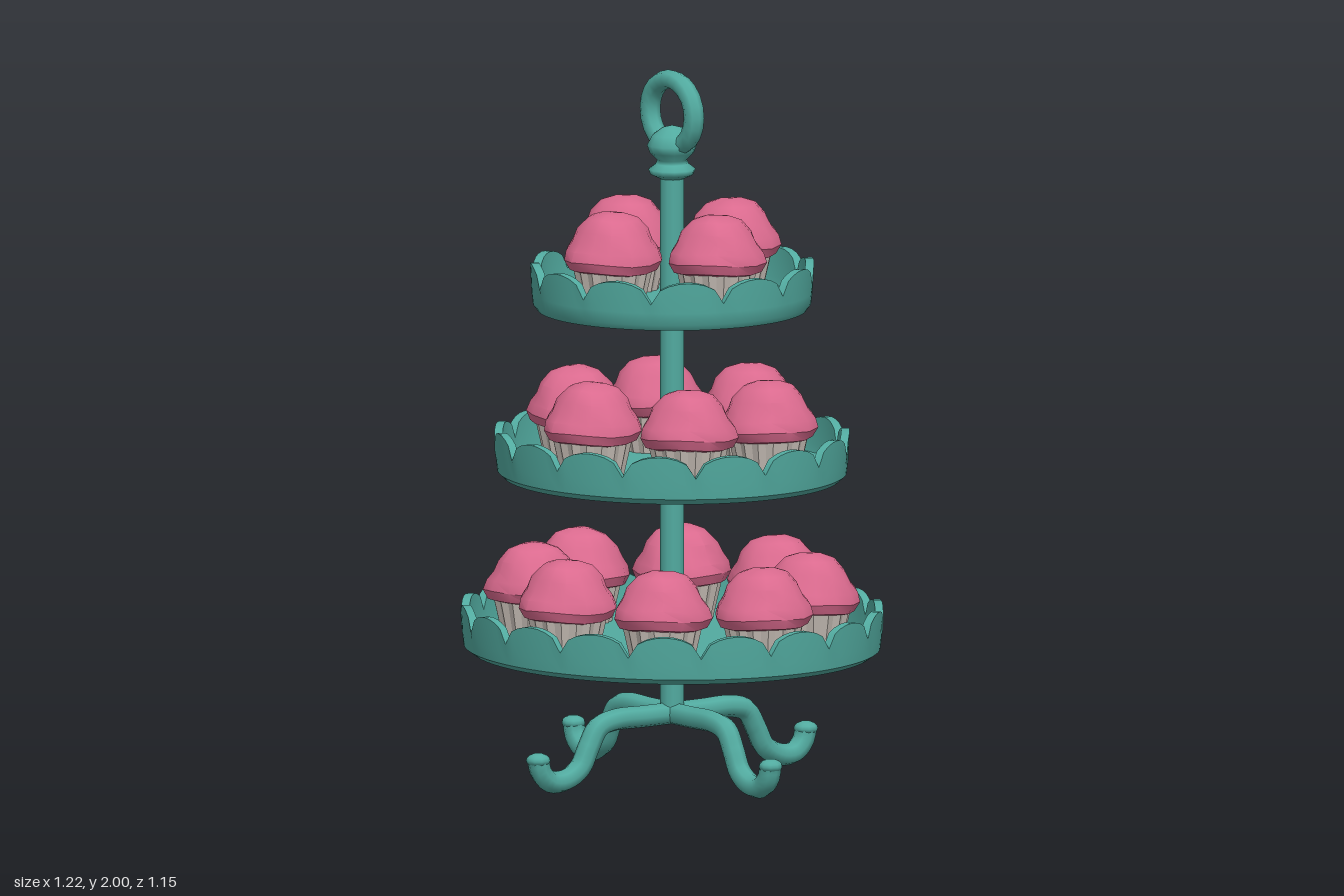
import * as THREE from 'three';
import { toCreasedNormals } from 'three/addons/utils/BufferGeometryUtils.js';

const teal = new THREE.MeshStandardMaterial({ name: 'teal metal', color: 0x52aba0 });
const pink = new THREE.MeshStandardMaterial({ name: 'pink frosting', color: 0xda6a8e });
const paper = new THREE.MeshStandardMaterial({ name: 'paper wrapper', color: 0xc9c0b8 });

const vec = (list) => list.map(([x, y]) => new THREE.Vector2(x, y));

function add(parent, geometry, material, name) {
  const mesh = new THREE.Mesh(geometry, material);
  mesh.name = name;
  parent.add(mesh);
  return mesh;
}

// Visit every vertex with a rule that edits it in place.
function deform(geometry, rule) {
  const pos = geometry.attributes.position;
  const v = new THREE.Vector3();
  for (let i = 0; i < pos.count; i++) {
    rule(v.fromBufferAttribute(pos, i));
    pos.setXYZ(i, v.x, v.y, v.z);
  }
  return geometry;
}

// Dish with a scalloped rim; phase 0 puts a notch at the front, 0.5 a lobe.
function plateGeometry(r, rz, lobes, phase) {
  const profile = vec([
    [0, 0], [r * 0.95, 0], [r - 0.008, 0.016], [r - 0.004, 0.05], [r, 0.135],
    [r - 0.024, 0.135], [r - 0.026, 0.05], [r - 0.03, 0.028], [0, 0.028],
  ]);
  const geo = new THREE.LatheGeometry(profile, lobes * 8);
  deform(geo, (v) => {
    if (v.y > 0.1) {
      const t = Math.atan2(v.x, v.z) / (Math.PI * 2) * lobes + phase;
      const u = 2 * (t - Math.floor(t + 1e-6)) - 1;
      v.y = 0.075 + 0.06 * Math.sqrt(Math.max(0, 1 - u * u));
    }
    v.z *= rz / r;
  });
  return toCreasedNormals(geo, 0.6);
}

// Domed frosting with a soft lower roll and a slightly uneven surface.
function frostingGeometry() {
  const profile = vec([
    [0, 0], [0.09, -0.002], [0.125, 0.008], [0.138, 0.035], [0.13, 0.062],
    [0.113, 0.085], [0.1, 0.115], [0.07, 0.147], [0.035, 0.16], [0, 0.163],
  ]);
  const geo = new THREE.LatheGeometry(profile, 14);
  deform(geo, (v) => {
    const a = Math.atan2(v.x, v.z);
    const k = 1 + 0.025 * Math.sin(3 * a + v.y * 40) + 0.012 * Math.cos(5 * a);
    v.x *= k;
    v.z *= k;
    v.y += 0.06 * v.x * Math.cos(2 * a);
  });
  return toCreasedNormals(geo, 0.6);
}

// Tapered wrapper with pleats.
function wrapperGeometry() {
  const geo = new THREE.CylinderGeometry(0.112, 0.085, 0.12, 32, 1);
  const pos = geo.attributes.position;
  deform(geo, (v) => {
    const i = Math.round(Math.atan2(v.x, v.z) / (Math.PI * 2) * 32);
    const k = i % 2 ? 0.95 : 1.02;
    v.x *= k;
    v.z *= k;
  });
  pos.needsUpdate = true;
  return toCreasedNormals(geo, 0.3);
}

export function createModel() {
  const model = new THREE.Group();
  model.name = 'cupcakeStand';
  const frosting = frostingGeometry();
  const wrapper = wrapperGeometry();

  // Tiers: base height, rim radii, lobes, cupcake count and ring radii
  const tiers = [
    { name: 'bottomTier', y: 0.363, r: 0.61, rz: 0.575, lobes: 18, phase: 0, n: 8, cx: 0.428, cz: 0.362 },
    { name: 'middleTier', y: 0.855, r: 0.51, rz: 0.485, lobes: 15, phase: 0.5, n: 6, cx: 0.305, cz: 0.275 },
    { name: 'topTier', y: 1.328, r: 0.395, rz: 0.395, lobes: 12, phase: 0.5, n: 4, cx: 0.21, cz: 0.205 },
  ];
  for (const t of tiers) {
    const tier = new THREE.Group();
    tier.name = t.name;
    tier.position.y = t.y;
    model.add(tier);
    add(tier, plateGeometry(t.r, t.rz, t.lobes, t.phase), teal, 'scallopedPlate');
    for (let i = 0; i < t.n; i++) {
      const a = (i / t.n) * Math.PI * 2;
      const cake = new THREE.Group();
      cake.name = 'cupcake';
      cake.position.set(Math.sin(a) * t.cx, 0.024, Math.cos(a) * t.cz);
      cake.rotation.y = i * 2.3;
      tier.add(cake);
      add(cake, wrapper, paper, 'wrapper').position.y = 0.06;
      add(cake, frosting, pink, 'frosting').position.y = 0.104;
    }
  }

  // Central pole
  add(model, new THREE.CylinderGeometry(0.034, 0.034, 1.56, 12), teal, 'pole').position.y = 0.96;

  // Turned collar and knob under the handle
  const knob = vec([
    [0, 1.69], [0.034, 1.695], [0.06, 1.707], [0.066, 1.722], [0.046, 1.737],
    [0.042, 1.748], [0.062, 1.768], [0.07, 1.79], [0.055, 1.818], [0.028, 1.838], [0, 1.845],
  ]);
  add(model, new THREE.LatheGeometry(knob, 12), teal, 'knob');

  // Ring handle
  const ring = add(model, new THREE.TorusGeometry(0.103, 0.029, 8, 22), teal, 'ringHandle');
  ring.position.y = 1.879;
  ring.scale.y = 0.92;

  // Four curled legs
  const path = new THREE.CatmullRomCurve3([
    [0, 0.188], [0.1, 0.188], [0.2, 0.188], [0.255, 0.172], [0.288, 0.12], [0.318, 0.065],
    [0.37, 0.035], [0.42, 0.036], [0.452, 0.065], [0.462, 0.1],
  ].map(([x, y]) => new THREE.Vector3(x, y, 0)));
  const legGeo = new THREE.TubeGeometry(path, 36, 0.031, 8);
  const tipGeo = new THREE.SphereGeometry(0.034, 10, 8);
  for (let i = 0; i < 4; i++) {
    const leg = new THREE.Group();
    leg.name = 'leg';
    leg.rotation.y = (i * Math.PI) / 2;
    model.add(leg);
    add(leg, legGeo, teal, 'curledLeg');
    const tip = add(leg, tipGeo, teal, 'legTip');
    tip.position.set(0.462, 0.1, 0);
    tip.scale.y = 0.6;
  }
  return model;
}
